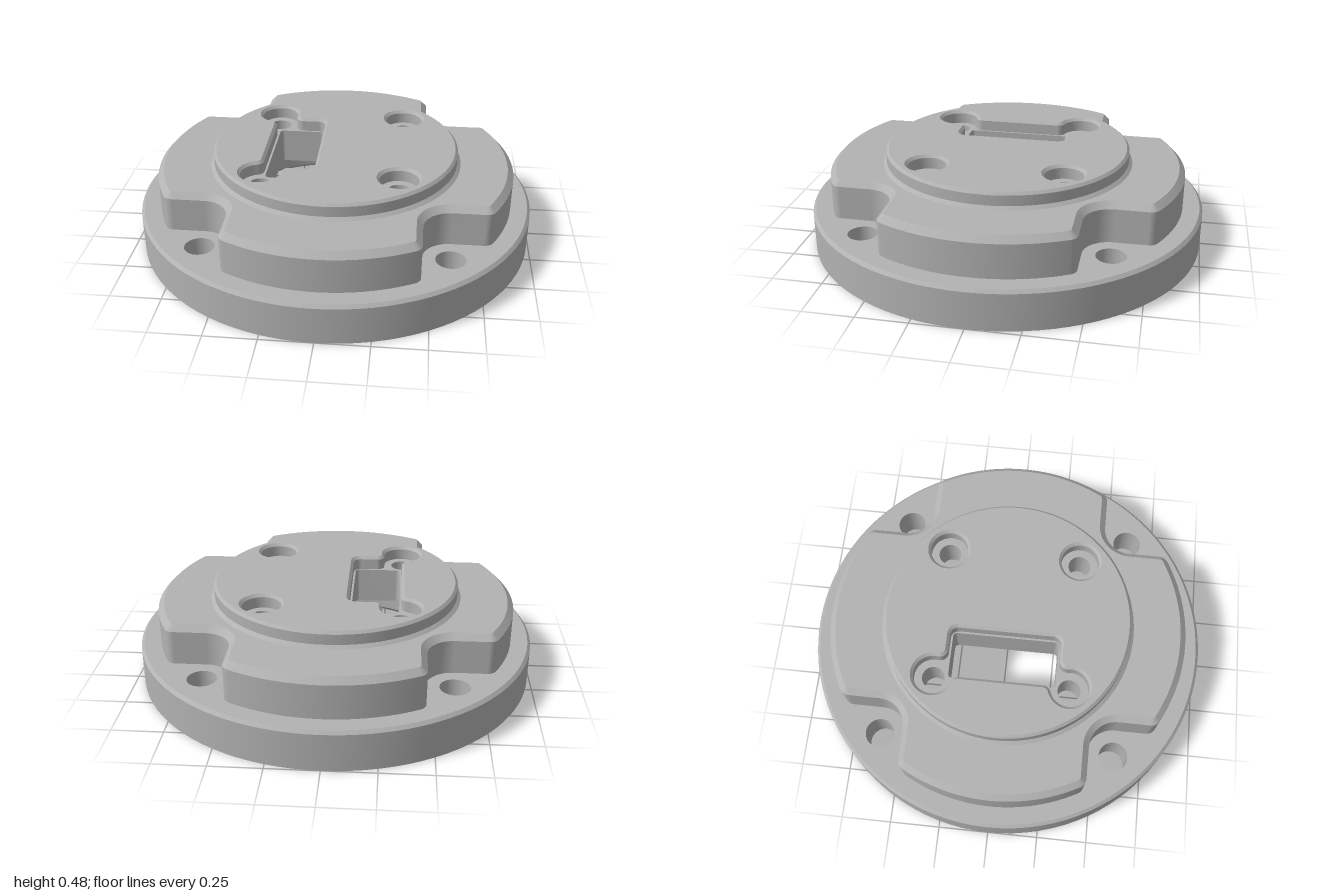
import * as THREE from 'three';
import { mergeGeometries } from 'three/addons/utils/BufferGeometryUtils.js';

const RAD = Math.PI / 180;

// Points on an arc in the (x, z) plane, angles in degrees
function arc(cx, cz, r, a0, a1, n) {
  return Array.from({ length: n + 1 }, (_, i) => {
    const a = (a0 + ((a1 - a0) * i) / n) * RAD;
    return new THREE.Vector2(cx + r * Math.cos(a), cz + r * Math.sin(a));
  });
}
const circle = (r, x = 0, z = 0, n = 96) => arc(x, z, r, 0, 360, n).slice(0, n);
const ordered = (loop) => (THREE.ShapeUtils.isClockWise(loop) ? [...loop].reverse() : loop);

// Wall between two matching loops; facing 1 is outward, -1 is inward
function wall(lower, y0, upper, y1, facing = 1) {
  const lo = ordered(lower), up = ordered(upper), n = lo.length;
  const pos = [], index = [];
  lo.forEach((p, i) => pos.push(p.x, y0, p.y, up[i].x, y1, up[i].y));
  for (let i = 0; i < n; i++) {
    const a = 2 * i, b = 2 * ((i + 1) % n);
    if (facing > 0) index.push(a, a + 1, b, b, a + 1, b + 1);
    else index.push(a, b, a + 1, b, b + 1, a + 1);
  }
  const g = new THREE.BufferGeometry();
  g.setAttribute('position', new THREE.Float32BufferAttribute(pos, 3));
  g.setIndex(index);
  g.computeVertexNormals();
  return g;
}

// Flat face with holes at height y; facing 1 is up, -1 is down
function cap(outer, holes, y, facing = 1) {
  const shape = new THREE.Shape(outer);
  shape.holes = holes.map((h) => new THREE.Path(h));
  const g = new THREE.ShapeGeometry(shape);
  g.deleteAttribute('uv');
  g.rotateX(Math.PI / 2).translate(0, y, 0);
  if (facing > 0) {
    g.index.array.reverse();
    g.computeVertexNormals();
  }
  return g;
}

// Four-lobed body outline, inset by d
function lobeLoop(d) {
  const c = 0.405, f = Math.sqrt(0.85 ** 2 - c ** 2), t = Math.atan2(c, f) / RAD;
  const quarter = [
    ...arc(0, 0, 0.9 - d, -t, t, 24),
    ...arc(f, c, 0.05 - d, t, 90, 6).slice(1),
    ...arc(0.59, 0.59, 0.135 + d, 270, 180, 12),
    ...arc(c, f, 0.05 - d, 0, 90 - t, 6).slice(0, -1),
  ];
  return [0, 1, 2, 3].flatMap((k) =>
    quarter.map((p) => p.clone().rotateAround(new THREE.Vector2(), (k * Math.PI) / 2)));
}

// Slot pocket joined to two counterbores by fillets, grown by e
const S = 0.335, BORE = 0.095, FILLET = 0.04;
function pocketLoop(e) {
  const reach = BORE + FILLET;
  const dz = Math.sqrt(reach ** 2 - FILLET ** 2), gz = 0.275 + FILLET - S;
  const gx = Math.sqrt(reach ** 2 - gz ** 2);
  const a = Math.atan2(dz, FILLET) / RAD, b = Math.atan2(gz, gx) / RAD;
  const half = [
    ...arc(-S - FILLET, S - dz, FILLET - e, 0, a, 8),
    ...arc(-S, S, BORE + e, 180 + a, b, 32).slice(1),
    ...arc(-S + gx, S + gz, FILLET - e, 180 + b, 270, 8).slice(1),
    ...arc(-0.12, 0.235, 0.04 + e, 90, 0, 8),
  ];
  return [...half, ...half.map((p) => new THREE.Vector2(p.x, -p.y)).reverse()];
}

// Rounded rectangular through slot
function slotLoop() {
  const r = 0.02, x0 = -0.325 + r, x1 = -0.09 - r, z = 0.265 - r;
  return [
    ...arc(x1, z, r, 0, 90, 5), ...arc(x0, z, r, 90, 180, 5),
    ...arc(x0, -z, r, 180, 270, 5), ...arc(x1, -z, r, 270, 360, 5),
  ];
}

export function createModel() {
  const group = new THREE.Group();
  const grey = new THREE.MeshStandardMaterial({ color: 0xb2b2b2 });
  grey.name = 'machined grey';
  const add = (name, geometries) => {
    const mesh = new THREE.Mesh(mergeGeometries(geometries), grey);
    mesh.name = name;
    group.add(mesh);
  };

  const CEILING = 0.23, FLOOR = 0.41, TOP = 0.48, CH = 0.014;
  const corners = [[1, 1], [1, -1], [-1, 1], [-1, -1]];
  const boltHoles = corners.map(([x, z]) => circle(0.072, 0.59 * x, 0.59 * z, 40));
  const screwHoles = corners.map(([x, z]) => circle(0.056, S * x, S * z, 32));
  const slot = slotLoop();

  // Round base flange with bolt holes
  add('baseFlange', [
    cap(circle(1), [circle(0.685), ...boltHoles], 0, -1),
    wall(circle(1), 0, circle(1), 0.185),
    wall(circle(1), 0.185, circle(0.985), 0.2),
    cap(circle(0.985), [lobeLoop(0), ...boltHoles], 0.2),
  ]);
  add('boltHoles', boltHoles.map((h) => wall(h, 0, h, 0.2, -1)));

  // Round recess in the underside
  add('undersideRecess', [
    wall(circle(0.685), 0, circle(0.665), 0.02, -1),
    wall(circle(0.665), 0.02, circle(0.665), CEILING, -1),
    cap(circle(0.665), [slot, ...screwHoles], CEILING, -1),
  ]);

  // Lobed middle body with chamfered rim
  add('lobedBody', [
    wall(lobeLoop(0), 0.2, lobeLoop(0), 0.37),
    wall(lobeLoop(0), 0.37, lobeLoop(0.03), 0.4),
    cap(lobeLoop(0.03), [circle(0.635)], 0.4),
  ]);

  // Raised round boss, flared at the foot
  const bores = [1, -1].map((s) => ({
    rim: circle(BORE + CH, S, S * s, 40),
    side: circle(BORE, S, S * s, 40),
  }));
  add('boss', [
    wall(circle(0.635), 0.4, circle(0.618), 0.415),
    wall(circle(0.618), 0.415, circle(0.618), 0.467),
    wall(circle(0.618), 0.467, circle(0.605), TOP),
    cap(circle(0.605), [pocketLoop(CH), ...bores.map((b) => b.rim)], TOP),
  ]);

  // Two separate counterbores
  add('counterbores', bores.flatMap((b, i) => [
    wall(b.side, TOP - CH, b.rim, TOP, -1),
    wall(b.side, FLOOR, b.side, TOP - CH, -1),
    cap(b.side, [screwHoles[i]], FLOOR),
  ]));

  // Slot pocket with its two counterbores
  add('slotPocket', [
    wall(pocketLoop(0), TOP - CH, pocketLoop(CH), TOP, -1),
    wall(pocketLoop(0), FLOOR, pocketLoop(0), TOP - CH, -1),
    cap(pocketLoop(0), [slot, screwHoles[2], screwHoles[3]], FLOOR),
  ]);
  add('throughSlot', [wall(slot, CEILING, slot, FLOOR, -1)]);
  add('screwHoles', screwHoles.map((h) => wall(h, CEILING, h, FLOOR, -1)));

  return group;
}
